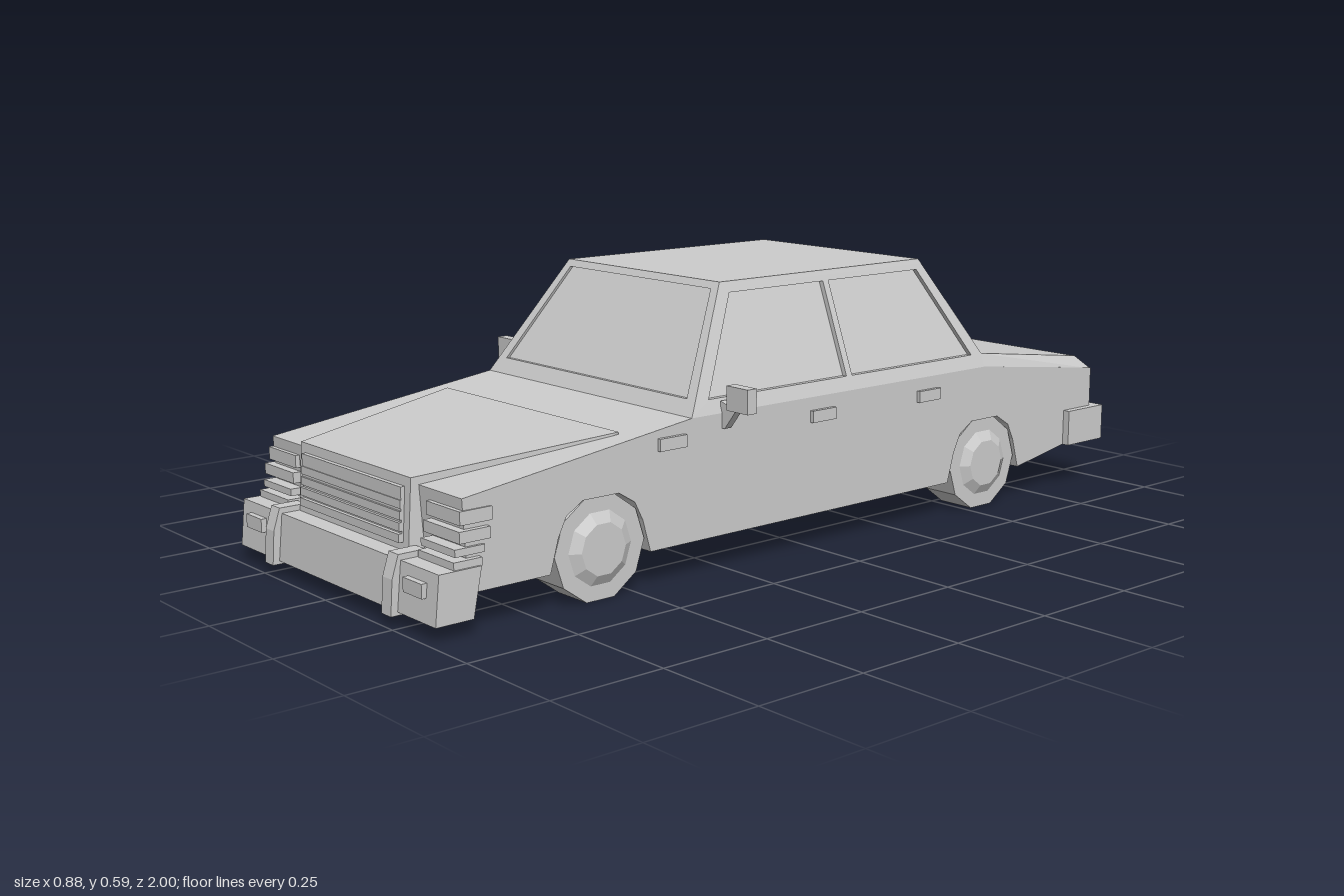
import * as THREE from 'three';
import { ConvexGeometry } from 'three/addons/geometries/ConvexGeometry.js';

export function createModel() {
  const car = new THREE.Group();
  car.name = 'sedan';
  const mat = new THREE.MeshStandardMaterial({ color: 0xcccccc, flatShading: true });

  const add = (name, geo) => {
    const mesh = new THREE.Mesh(geo, mat);
    mesh.name = name;
    car.add(mesh);
    return mesh;
  };
  // The part on the left (+x) and its mirror image on the right
  const addPair = (name, geo) => {
    add(name + 'Left', geo);
    add(name + 'Right', geo).scale.x = -1;
  };
  // Box given by its limits on each axis
  const box = (x0, x1, y0, y1, z0, z1) =>
    new THREE.BoxGeometry(x1 - x0, y1 - y0, z1 - z0)
      .translate((x0 + x1) / 2, (y0 + y1) / 2, (z0 + z1) / 2);
  const hull = (pts) => new ConvexGeometry(pts.map((p) => new THREE.Vector3(...p)));
  // Hull symmetric about x = 0
  const wideHull = (pts) => hull(pts.flatMap(([x, y, z]) => [[x, y, z], [-x, y, z]]));
  const outline = (pts) => new THREE.Shape(pts.map((p) => new THREE.Vector2(...p)));
  const extrude = (shape, depth) =>
    new THREE.ExtrudeGeometry(shape, { depth, bevelEnabled: false });
  // Side profile of [z, y] points, extruded across x
  const across = (pts, half) =>
    extrude(outline(pts), half * 2).translate(0, 0, -half).rotateY(-Math.PI / 2);
  // Lean a geometry: shift one axis by a function of height
  const lean = (geo, axis, shift) => {
    const p = geo.attributes.position;
    for (let i = 0; i < p.count; i++) {
      p.setComponent(i, axis, p.getComponent(i, axis) + shift(p.getY(i)));
    }
    geo.computeVertexNormals();
    return geo;
  };

  // Lower body with wheel arches
  const axles = [0.585, -0.555];
  const arch = (c) => [[-0.125, 0.08], [-0.105, 0.15], [-0.085, 0.19], [-0.045, 0.215],
    [0.045, 0.215], [0.085, 0.19], [0.105, 0.15], [0.125, 0.08]].map(([z, y]) => [c + z, y]);
  add('body', across([
    [-0.95, 0.29], [-0.95, 0.12], [-0.85, 0.11],
    ...arch(axles[1]), ...arch(axles[0]),
    [0.9, 0.08], [0.91, 0.265], [0.35, 0.34], [-0.55, 0.34],
  ], 0.36));

  // Trunk lid with sloping shoulders
  add('trunk', wideHull([
    [0.36, 0.34, -0.55], [0.347, 0.37, -0.55], [0.34, 0.322, -0.91], [0.355, 0.29, -0.95],
    [0.36, 0.29, -0.94],
  ]));

  // Raised hood centre that narrows towards the nose
  add('hood', wideHull([
    [0.21, 0.28, 0.925], [0.21, 0.13, 0.935], [0.21, 0.13, 0.85],
    [0.31, 0.325, 0.5], [0.29, 0.25, 0.5],
  ]));

  // Cabin: leaning frames with openings and recessed glass
  const sideLean = (inset) => (y) => 0.36 - inset - (y - 0.34) * 0.384;
  const frontLean = (inset) => (y) => 0.35 - inset - (y - 0.34) * 0.627;
  const rearLean = (inset) => (y) => -0.55 + inset + (y - 0.37) * 0.578;
  const thick = 0.018;
  const pane = 0.005;
  const framed = (pts, holes) => {
    const s = outline(pts);
    s.holes = holes.map(outline);
    return extrude(s, thick);
  };

  const sideWindows = [
    [[0.295, 0.37], [0.17, 0.572], [-0.105, 0.572], [-0.105, 0.37]],
    [[-0.122, 0.37], [-0.122, 0.572], [-0.405, 0.572], [-0.515, 0.37]],
  ];
  addPair('sideFrame', lean(framed(
    [[0.35, 0.34], [0.19, 0.595], [-0.42, 0.595], [-0.55, 0.37], [-0.55, 0.34]], sideWindows,
  ).rotateY(-Math.PI / 2), 0, sideLean(0)));
  for (const w of sideWindows) {
    addPair('sideWindow', lean(extrude(outline(w), pane).rotateY(-Math.PI / 2), 0, sideLean(0.012)));
  }

  const trapezoid = (xb, yb, xt, yt) => [[-xb, yb], [xb, yb], [xt, yt], [-xt, yt]];
  const windshield = trapezoid(0.32, 0.372, 0.245, 0.58);
  add('windshieldFrame', lean(framed(trapezoid(0.36, 0.34, 0.262, 0.595), [windshield]),
    2, frontLean(thick)));
  add('windshield', lean(extrude(outline(windshield), pane), 2, frontLean(0.013)));

  const rearGlass = trapezoid(0.305, 0.395, 0.25, 0.575);
  add('rearFrame', lean(framed(trapezoid(0.347, 0.37, 0.262, 0.595), [rearGlass])
    .rotateY(Math.PI), 2, rearLean(thick)));
  add('rearWindow', lean(extrude(outline(rearGlass), pane).rotateY(Math.PI), 2, rearLean(0.013)));

  add('roof', wideHull([
    [0.262, 0.595, 0.19], [0.262, 0.595, -0.42], [0.266, 0.585, 0.196], [0.266, 0.585, -0.426],
  ]));

  // Grille: surround and slats
  add('grillePanel', box(-0.19, 0.19, 0.15, 0.26, 0.91, 0.936));
  for (let i = 0; i < 5; i++) {
    const y = 0.151 + i * 0.022;
    add('grilleSlat', box(-0.19, 0.19, y, y + 0.017, 0.92, 0.944 - i * 0.002));
  }

  // Stepped lamp louvres wrapping the front corners
  [0.215, 0.183, 0.157, 0.133].forEach((y, i) => {
    const out = [0.364, 0.372, 0.366, 0.372][i];
    addPair('headlampLouvre', box(0.25, out, y, y + [0.027, 0.023, 0.015, 0.017][i],
      0.845 + i * 0.01, 0.918 + i * 0.007));
  });

  // Front bumper with guards and lamps
  add('frontBumper', across([[0.9, 0.035], [0.985, 0.035], [0.975, 0.135], [0.88, 0.135]], 0.377));
  addPair('frontGuard', hull([0.212, 0.246].flatMap((x) => [
    [x, 0.028, 0.93], [x, 0.028, 1], [x, 0.1, 0.995], [x, 0.147, 0.98], [x, 0.147, 0.92],
  ])));
  addPair('bumperLamp', box(0.275, 0.34, 0.083, 0.112, 0.96, 0.99));

  // Rear bumper with guards, and tail lamps
  add('rearBumper', box(-0.377, 0.377, 0.11, 0.195, -0.98, -0.85));
  addPair('rearGuard', box(0.195, 0.23, 0.13, 0.182, -1, -0.96));
  addPair('tailLamp', box(0.205, 0.335, 0.195, 0.278, -0.956, -0.93));

  // Door mirrors on angled arms
  addPair('mirror', box(0.375, 0.44, 0.348, 0.4, 0.245, 0.27));
  addPair('mirrorArm', hull([0.25, 0.268].flatMap((z) => [
    [0.355, 0.308, z], [0.355, 0.365, z], [0.368, 0.308, z], [0.375, 0.35, z], [0.402, 0.35, z],
  ])));

  // Door handles and front side marker
  for (const z of [0.405, -0.02, -0.355]) {
    addPair('sideHandle', box(0.35, 0.369, 0.285, 0.311, z - 0.035, z + 0.035));
  }

  // Ten-sided wheels with hubcaps
  for (const z of axles) {
    addPair('tyre', new THREE.CylinderGeometry(0.112, 0.112, 0.092, 10)
      .rotateZ(-Math.PI / 2).translate(0.309, 0.11, z));
    addPair('hubcap', new THREE.CylinderGeometry(0.055, 0.08, 0.014, 10)
      .rotateZ(-Math.PI / 2).translate(0.361, 0.11, z));
  }

  return car;
}
